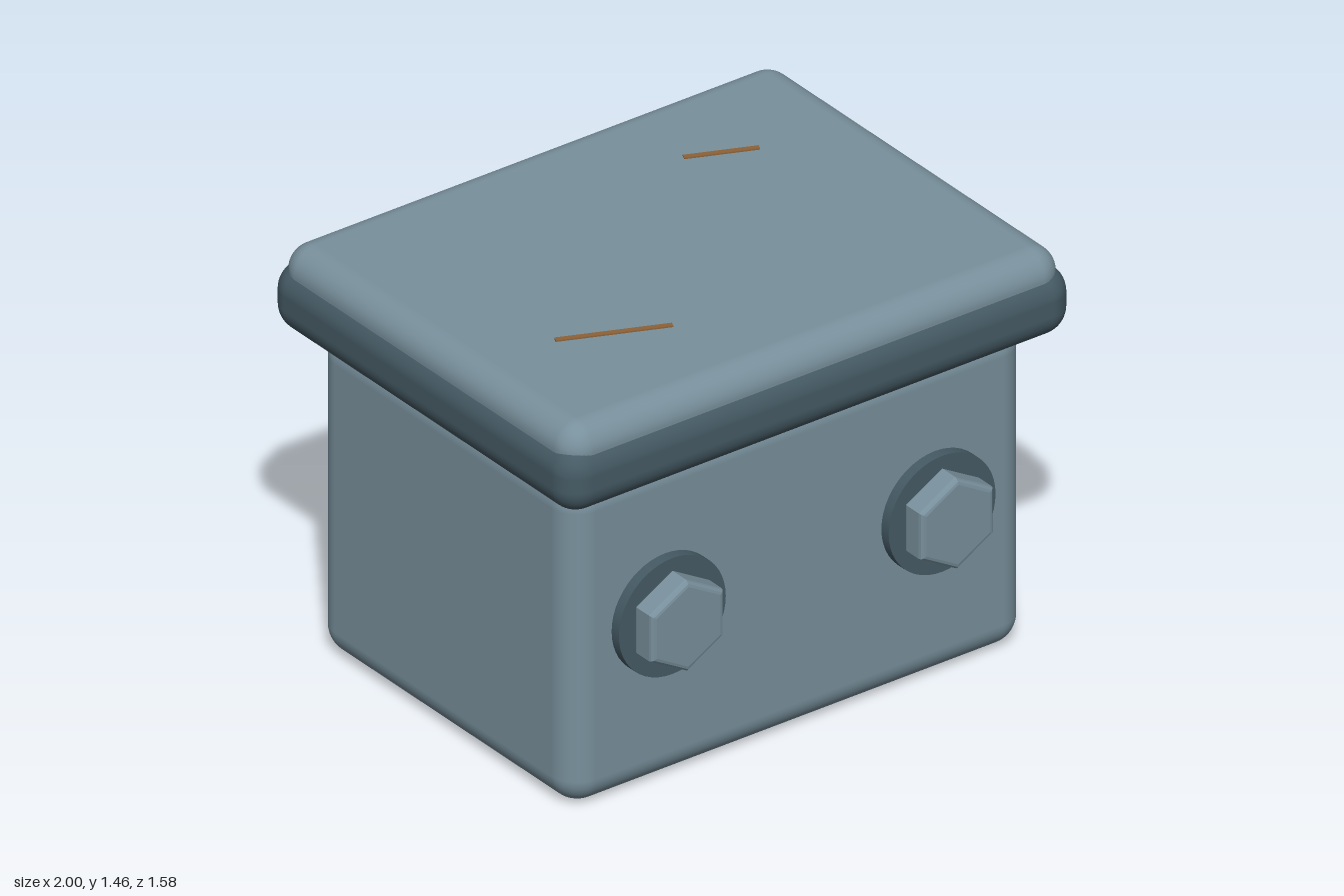
import * as THREE from 'three';
import { RoundedBoxGeometry } from 'three/addons/geometries/RoundedBoxGeometry.js';

export function createModel() {
  const model = new THREE.Group();
  model.name = 'liddedBox';

  const paint = (name, color) => {
    const m = new THREE.MeshStandardMaterial({ color });
    m.name = name;
    return m;
  };
  const steel = paint('blueGreySteel', 0x78909c);
  const darkSteel = paint('darkSteel', 0x455a64);
  const rust = paint('rustBrown', 0x8d6238);

  const add = (parent, name, geometry, material, x = 0, y = 0, z = 0) => {
    const mesh = new THREE.Mesh(geometry, material);
    mesh.name = name;
    mesh.position.set(x, y, z);
    parent.add(mesh);
    return mesh;
  };

  // Rounded block spanning bottom to top
  const block = (name, material, width, depth, bottom, top, radius) =>
    add(model, name, new RoundedBoxGeometry(width, top - bottom, depth, 6, radius),
      material, 0, (bottom + top) / 2, 0);

  block('body', steel, 1.8, 1.33, 0, 1.17, 0.1);
  block('lidRim', darkSteel, 2, 1.58, 1.143, 1.383, 0.095);
  block('lidTop', steel, 1.95, 1.53, 1.2, 1.45, 0.09);

  // Hexagonal bolt head with softened edges, a corner pointing up
  const bevel = 0.018;
  const hexagon = new THREE.Shape(Array.from({ length: 6 }, (_, i) => {
    const a = Math.PI / 2 + i * Math.PI / 3;
    return new THREE.Vector2(0.165 * Math.cos(a), 0.165 * Math.sin(a));
  }));
  const boltGeometry = new THREE.ExtrudeGeometry(hexagon, {
    depth: 0.1 - 2 * bevel, bevelEnabled: true, bevelThickness: bevel,
    bevelSize: bevel, bevelOffset: -bevel, bevelSegments: 3,
  });
  const washerGeometry = new THREE.CylinderGeometry(0.21, 0.21, 0.06, 48).rotateX(Math.PI / 2);

  // Two bolts with washers on the front and on the back
  for (const side of ['front', 'back']) {
    const row = new THREE.Group();
    row.name = side + 'Bolts';
    if (side === 'back') row.rotation.y = Math.PI;
    for (const x of [-0.53, 0.53]) {
      add(row, 'washer', washerGeometry, darkSteel, x, 0.615, 0.673);
      add(row, 'boltHead', boltGeometry, steel, x, 0.615, 0.688 + bevel);
    }
    model.add(row);
  }

  // Thin rusty scratches on the lid
  for (const [x, z, length] of [[-0.478, 0.33, 0.38], [0.47, -0.365, 0.245]]) {
    const scratch = add(model, 'scratch', new THREE.BoxGeometry(length, 0.009, 0.02),
      rust, x, 1.4505, z);
    scratch.rotation.y = -0.4;
  }

  return model;
}
